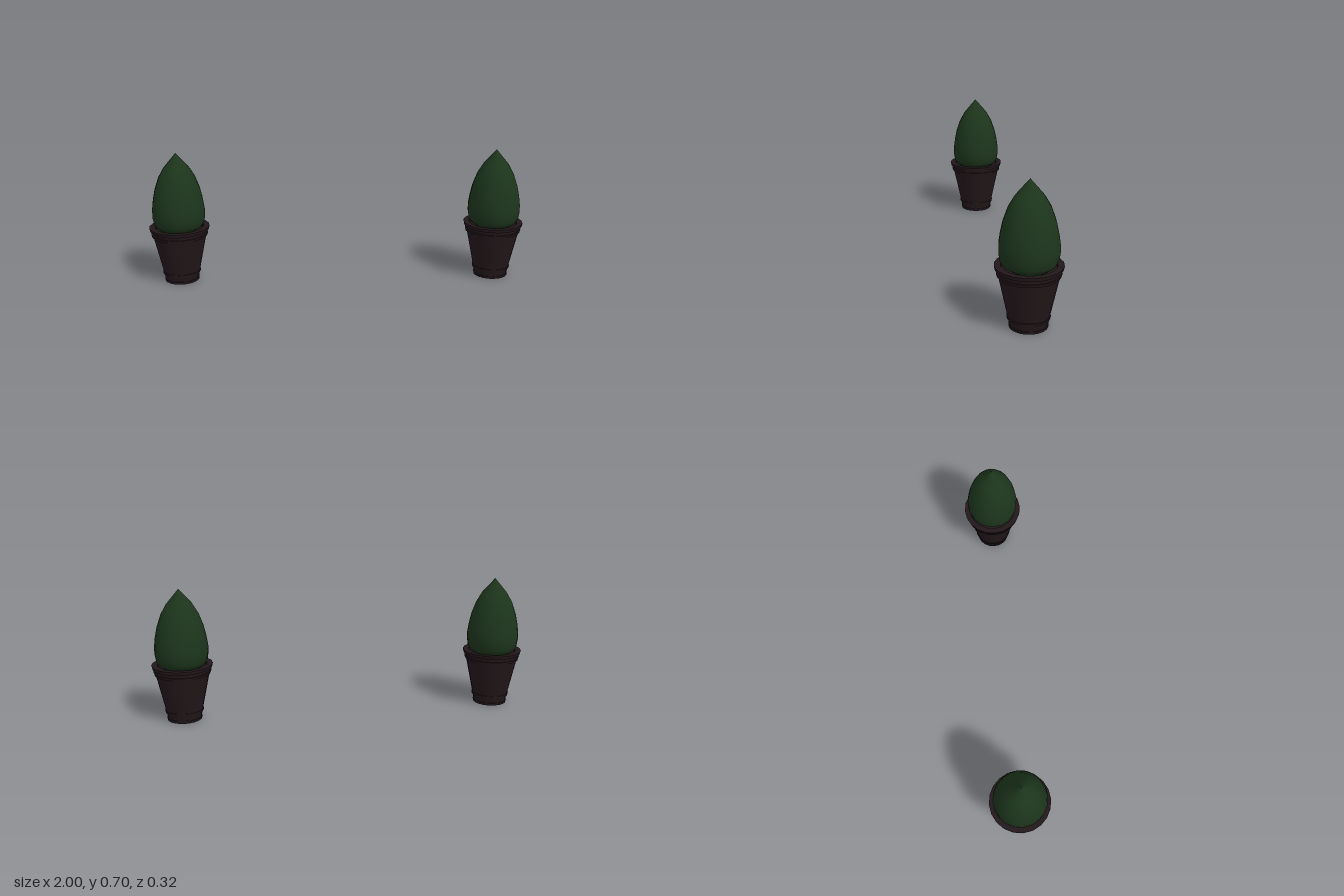
import * as THREE from 'three';
import { toCreasedNormals } from 'three/addons/utils/BufferGeometryUtils.js';

const SIDES = 20;
const lathe = (profile) =>
  new THREE.LatheGeometry(profile.map(([r, y]) => new THREE.Vector2(r, y)), SIDES);

// Tapered pot: closed base, foot ring, lower band, upper band, flared rim, soil
const potProfile = [
  [0, 0.002], [0.09, 0.002], [0.092, 0.015], [0.088, 0.015],
  [0.095, 0.045], [0.099, 0.045], [0.101, 0.057], [0.097, 0.057],
  [0.139, 0.252], [0.145, 0.252], [0.149, 0.266], [0.142, 0.266],
  [0.145, 0.284], [0.154, 0.284], [0.158, 0.302],
  [0.128, 0.302], [0.125, 0.285], [0, 0.285],
];

// Clipped bush: rounded underside, egg-shaped body, pointed tip
const bushProfile = [
  [0, 0.27], [0.085, 0.28], [0.121, 0.305], [0.132, 0.325], [0.138, 0.36],
  [0.138, 0.4], [0.131, 0.45], [0.119, 0.505], [0.096, 0.57],
  [0.066, 0.622], [0, 0.7],
];

export function createModel() {
  const model = new THREE.Group();
  const potMaterial = new THREE.MeshStandardMaterial({ color: 0x23171a });
  const bushMaterial = new THREE.MeshStandardMaterial({ color: 0x1d351c });
  const potGeometry = toCreasedNormals(lathe(potProfile), Math.PI / 6);
  const bushGeometry = lathe(bushProfile);

  // Matching pair of planters
  for (const [name, x] of [['leftPlanter', 0.842], ['rightPlanter', -0.842]]) {
    const planter = new THREE.Group();
    planter.name = name;
    planter.position.x = x;

    const pot = new THREE.Mesh(potGeometry, potMaterial);
    pot.name = 'pot';
    const bush = new THREE.Mesh(bushGeometry, bushMaterial);
    bush.name = 'bush';

    planter.add(pot, bush);
    model.add(planter);
  }
  return model;
}
